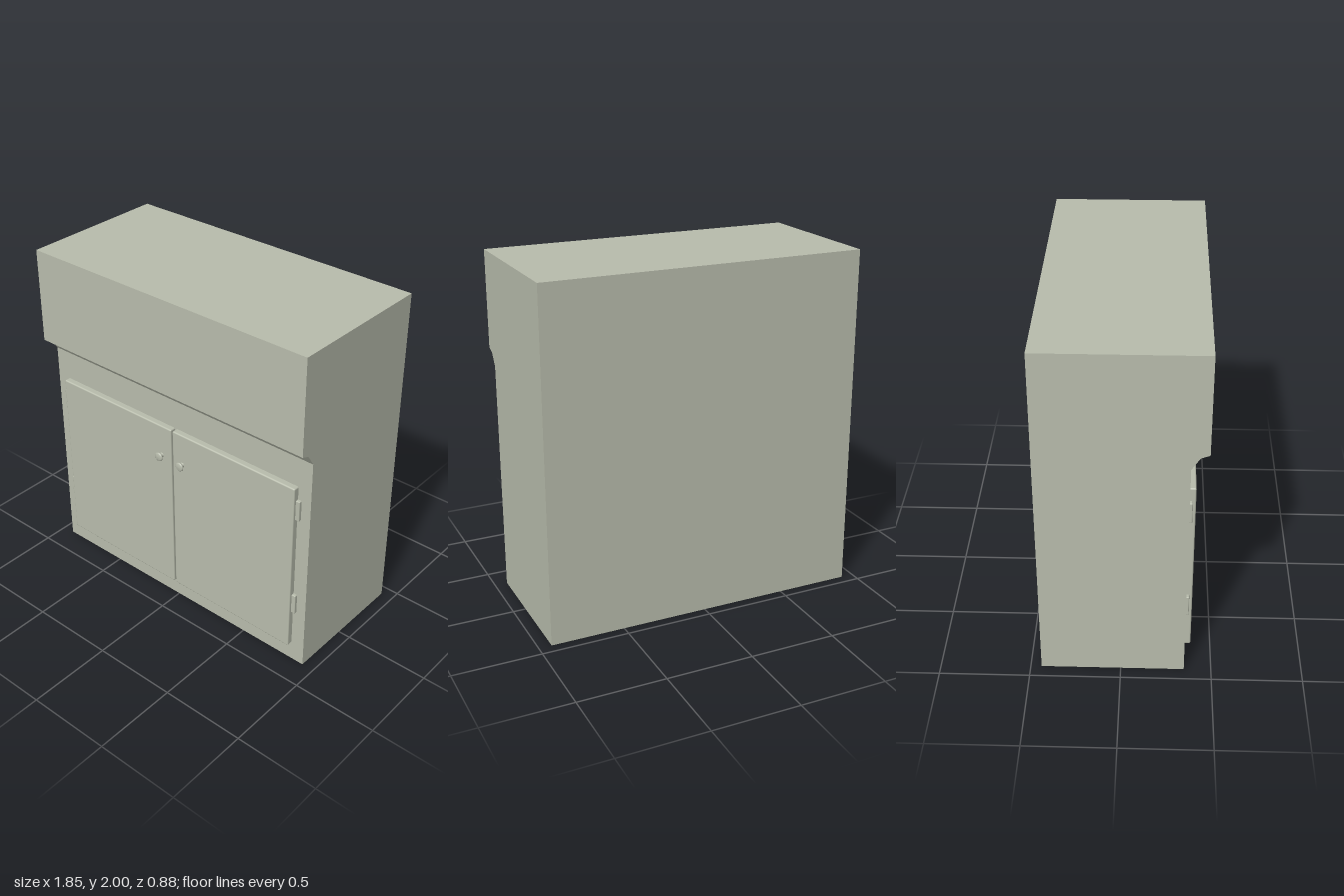
import * as THREE from 'three';
import { RoundedBoxGeometry } from 'three/addons/geometries/RoundedBoxGeometry.js';

const WIDTH = 1.854;
const FACE_Z = 0.35; // lower front panel

export function createModel() {
  const group = new THREE.Group();
  group.name = 'cabinet';
  const paint = new THREE.MeshStandardMaterial({ color: 0xb9bdad });

  const add = (name, geometry, x, y, z) => {
    const mesh = new THREE.Mesh(geometry, paint);
    mesh.name = name;
    mesh.position.set(x, y, z);
    group.add(mesh);
    return mesh;
  };

  // Body: side profile (z, y) with an overhanging top, extruded across the width
  const profile = new THREE.Shape([
    [-0.44, 0], [FACE_Z, 0], [FACE_Z, 1.355], [0.395, 1.425],
    [0.442, 1.442], [0.442, 2], [-0.44, 2],
  ].map(([z, y]) => new THREE.Vector2(z, y)));
  const body = new THREE.ExtrudeGeometry(profile, { depth: WIDTH, bevelEnabled: false });
  body.translate(0, 0, -WIDTH / 2).rotateY(-Math.PI / 2);
  add('body', body, 0, 0, 0);

  // Knob: thin stem with a rounded disc head, turned about z
  const knob = new THREE.LatheGeometry([
    [0.016, 0], [0.012, 0.004], [0.011, 0.018], [0.022, 0.021],
    [0.027, 0.025], [0.026, 0.03], [0.02, 0.034], [0, 0.035],
  ].map(([r, h]) => new THREE.Vector2(r, h)), 24).rotateX(Math.PI / 2);

  const door = new RoundedBoxGeometry(0.839, 1.066, 0.045, 3, 0.008);
  const hinge = new RoundedBoxGeometry(0.036, 0.125, 0.028, 2, 0.005);

  // Mirrored doors with knobs near the middle and hinges on the outer edges
  for (const [side, label] of [[1, 'left'], [-1, 'right']]) {
    add(label + 'Door', door, side * 0.425, 0.648, FACE_Z + 0.0125);
    add(label + 'Knob', knob, side * 0.077, 0.99, 0.383);
    add(label + 'LowerHinge', hinge, side * 0.85, 0.412, FACE_Z + 0.004);
    add(label + 'UpperHinge', hinge, side * 0.85, 1.04, FACE_Z + 0.004);
  }

  return group;
}
